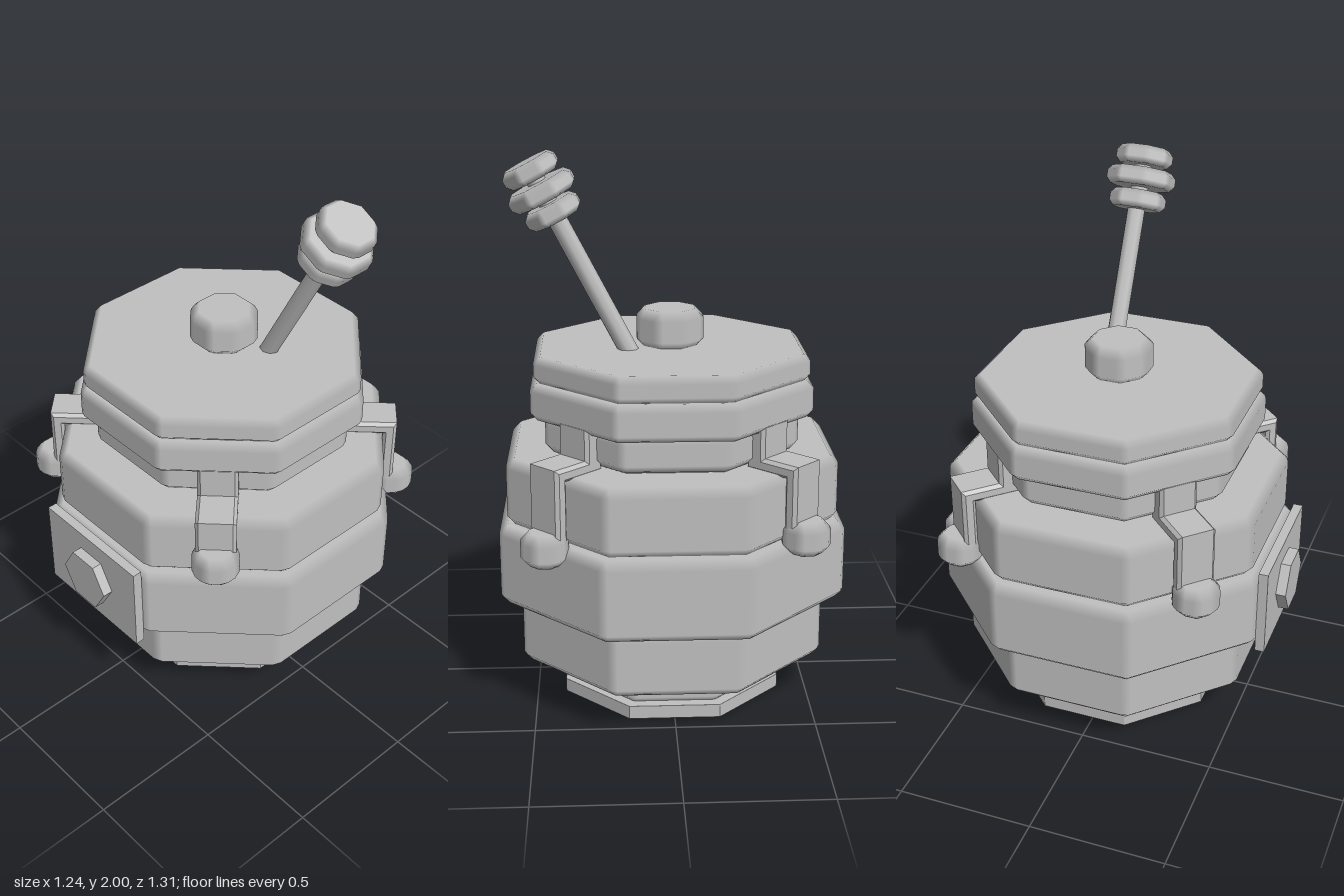
import * as THREE from 'three';

const clay = new THREE.MeshStandardMaterial({ color: 0xc0c0c0 });
clay.name = 'grey clay';

// Octagonal prism with chamfered edges; flats shade flat, chamfers blend between them.
// a = distance from axis to a flat, y0..y1 = height range, b = chamfer size
function octagon(a, y0, y1, b) {
  const pos = [], nor = [], idx = [];
  const half = a * Math.tan(Math.PI / 8) - b * 0.6;
  const capR = (a - b) / Math.cos(Math.PI / 8);
  const quad = (p, q, r, s) => idx.push(p, q, r, p, r, s);
  for (let i = 0; i < 8; i++) {
    const t = i * Math.PI / 4, s = Math.sin(t), c = Math.cos(t);
    for (const [u, y] of [[-half, y0 + b], [half, y0 + b], [half, y1 - b], [-half, y1 - b]]) {
      pos.push(s * a + c * u, y, c * a - s * u);
      nor.push(s, 0, c);
    }
    const k = t + Math.PI / 8;
    pos.push(Math.sin(k) * capR, y1, Math.cos(k) * capR);
    nor.push(0, 1, 0);
    pos.push(Math.sin(k) * capR, y0, Math.cos(k) * capR);
    nor.push(0, -1, 0);

    // corner indices: 0-3 panel, 4 top cap, 5 bottom cap
    const p = i * 6, n = ((i + 1) % 8) * 6, m = ((i + 7) % 8) * 6;
    quad(p, p + 1, p + 2, p + 3);
    quad(p + 1, n, n + 3, p + 2);
    quad(p + 3, p + 2, p + 4, m + 4);
    quad(m + 5, p + 5, p + 1, p);
    idx.push(p + 2, n + 3, p + 4, p + 5, n, p + 1);
    if (i > 0 && i < 7) idx.push(4, p + 4, n + 4, 5, n + 5, p + 5);
  }
  const g = new THREE.BufferGeometry();
  g.setAttribute('position', new THREE.Float32BufferAttribute(pos, 3));
  g.setAttribute('normal', new THREE.Float32BufferAttribute(nor, 3));
  g.setIndex(idx);
  return g;
}

function add(parent, name, geometry) {
  const mesh = new THREE.Mesh(geometry, clay);
  mesh.name = name;
  parent.add(mesh);
  return mesh;
}

// Stepped drip running out from under the lid, over the shoulder and down to a blob
function drip(name, blobY) {
  const g = new THREE.Group();
  g.name = name;
  const b = 0.012, w = 0.143;
  const outline = [[0.42, 0.93], [0.59, 0.93], [0.59, blobY], [0.64, blobY],
    [0.64, 0.98], [0.497, 0.98], [0.497, 1.09], [0.42, 1.09]];
  const shape = new THREE.Shape(outline.map(([x, y]) => new THREE.Vector2(x, y)));
  const strip = new THREE.ExtrudeGeometry(shape, {
    depth: w - 2 * b, bevelEnabled: true, bevelThickness: b, bevelSize: b, bevelOffset: -b, bevelSegments: 1,
  });
  strip.translate(0, 0, b - w / 2);
  add(g, 'dripStrip', strip);
  add(g, 'dripBlob', octagon(0.083, -0.06, 0.06, 0.032)).position.set(0.636, blobY, 0);
  return g;
}

export function createModel() {
  const model = new THREE.Group();
  model.name = 'honeyPot';
  const pot = new THREE.Group();
  pot.name = 'pot';
  pot.position.z = -0.035;
  model.add(pot);

  // Stacked rings: name, distance to flat, bottom, top, chamfer
  const rings = [
    ['basePlate', 0.395, 0, 0.05, 0.001],
    ['foot', 0.38, 0.04, 0.156, 0.035],
    ['lowerRing', 0.545, 0.155, 0.398, 0.032],
    ['middleRing', 0.62, 0.397, 0.695, 0.032],
    ['upperRing', 0.59, 0.692, 0.94, 0.032],
    ['neckCore', 0.41, 0.9, 1.08, 0.01],
    ['neck', 0.45, 0.945, 1.08, 0.03],
    ['lidRim', 0.5, 1.07, 1.202, 0.025],
    ['lid', 0.487, 1.2, 1.297, 0.025],
    ['lidKnob', 0.12, 1.29, 1.43, 0.032],
  ];
  for (const [name, a, y0, y1, b] of rings) add(pot, name, octagon(a, y0, y1, b));

  // Drips on the four diagonal flats
  const drips = [['frontLeftDrip', -45, 0.8], ['backLeftDrip', 45, 0.69],
    ['backRightDrip', 135, 0.72], ['frontRightDrip', 225, 0.72]];
  for (const [name, deg, y] of drips) {
    const d = drip(name, y);
    d.rotation.y = THREE.MathUtils.degToRad(deg);
    pot.add(d);
  }

  // Front plaque with a raised hexagon
  add(model, 'plaque', new THREE.BoxGeometry(0.49, 0.34, 0.035)).position.set(0, 0.545, 0.6);
  const hex = new THREE.CylinderGeometry(0.114, 0.114, 0.05, 6).rotateY(Math.PI / 6).rotateX(Math.PI / 2).toNonIndexed();
  hex.computeVertexNormals();
  add(model, 'plaqueHexagon', hex).position.set(0, 0.545, 0.63);

  // Leaning dipper with three ribs
  const dipper = new THREE.Group();
  dipper.name = 'dipper';
  dipper.position.set(0.155, 1.3, -0.114);
  dipper.rotation.z = THREE.MathUtils.degToRad(-27.5);
  model.add(dipper);
  add(dipper, 'dipperStick', new THREE.CylinderGeometry(0.034, 0.034, 0.76, 8)).position.y = 0.34;
  [[0.1, 0.55], [0.121, 0.63], [0.1, 0.71]].forEach(([r, y]) =>
    add(dipper, 'dipperRib', octagon(r, y - 0.033, y + 0.033, 0.02)));

  return model;
}
